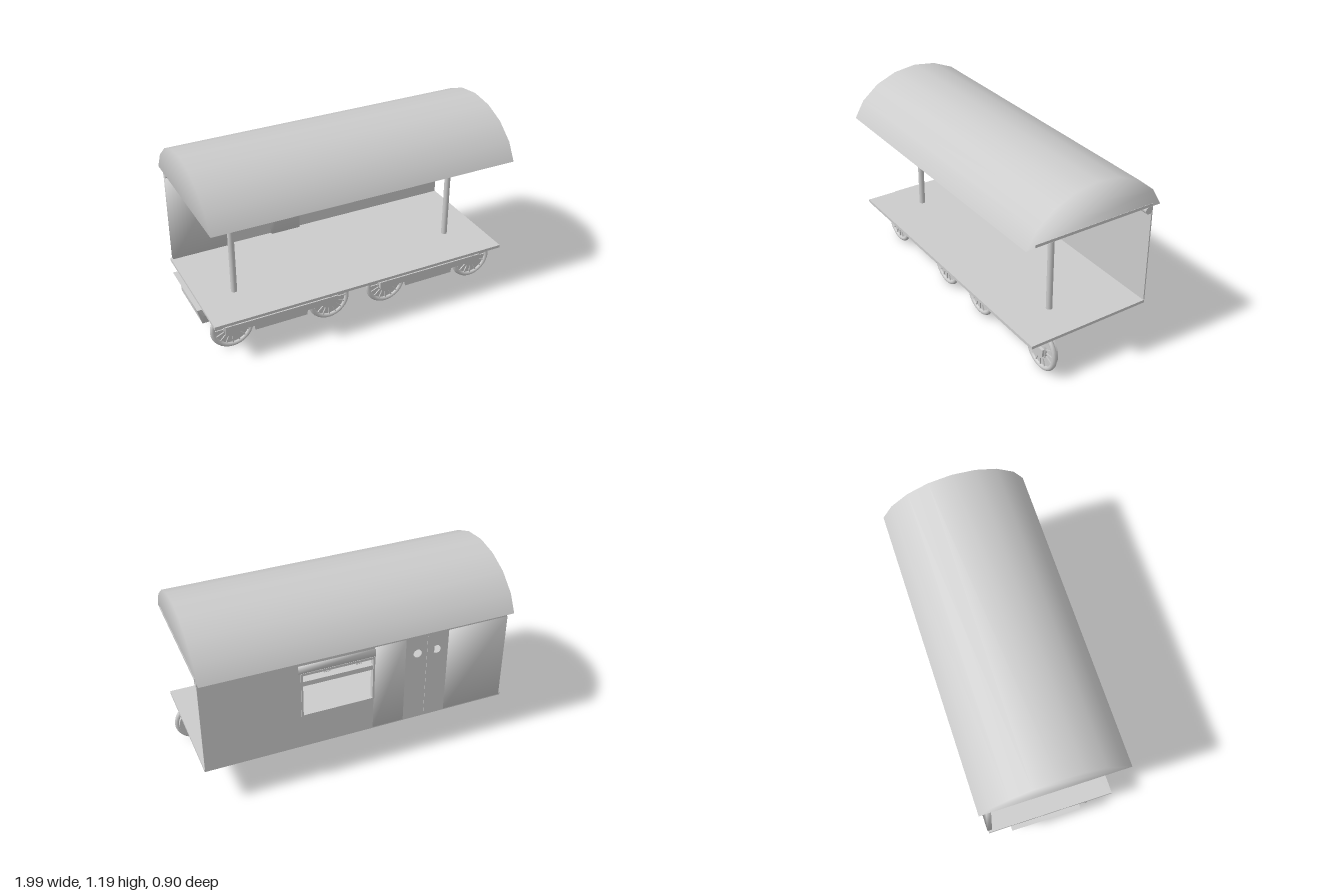
import * as THREE from 'three';

const mat = new THREE.MeshStandardMaterial({ color: 0xcccccc, side: THREE.DoubleSide });

export function createModel() {
  const root = new THREE.Group();

  function add(name, geo, x = 0, y = 0, z = 0, parent = root) {
    const m = new THREE.Mesh(geo, mat);
    m.name = name;
    m.position.set(x, y, z);
    parent.add(m);
    return m;
  }
  // box given by its limits on each axis
  function box(name, x0, x1, y0, y1, z0, z1, parent = root) {
    return add(name, new THREE.BoxGeometry(x1 - x0, y1 - y0, z1 - z0),
      (x0 + x1) / 2, (y0 + y1) / 2, (z0 + z1) / 2, parent);
  }
  // box whose normals are averaged at the corners
  function softBox(name, ...limits) {
    const m = box(name, ...limits);
    const p = m.geometry.attributes.position, n = m.geometry.attributes.normal, k = 1 / Math.sqrt(3);
    for (let i = 0; i < p.count; i++)
      n.setXYZ(i, Math.sign(p.getX(i)) * k, Math.sign(p.getY(i)) * k, Math.sign(p.getZ(i)) * k);
    return m;
  }
  // [z, y] profile swept along x
  function sweepX(profile, x0, x1) {
    const s = new THREE.Shape(profile.map(([z, y]) => new THREE.Vector2(-z, y)));
    return new THREE.ExtrudeGeometry(s, { depth: x1 - x0, bevelEnabled: false })
      .rotateY(Math.PI / 2).translate(x0, 0, 0);
  }
  const disc = (r, h, n = 24, r2 = r) => new THREE.CylinderGeometry(r, r2, h, n).rotateX(Math.PI / 2);

  // Arched roof: faceted arc with smooth radial normals and closed ends
  const half = [[0.452, 0.915], [0.39, 1.022], [0.28, 1.113], [0.148, 1.168]];
  const arc = [...half, [0, 1.188], ...half.map(([z, y]) => [-z, y]).reverse()];
  const pos = [], nor = [], idx = [];
  for (const x of [-0.97, 0.972]) {
    for (const [z, y] of arc) {
      const n = new THREE.Vector3(0, y - 0.68, z).normalize();
      pos.push(x, y, z);
      nor.push(n.x, n.y, n.z);
    }
  }
  const N = arc.length;
  for (let i = 0; i < N - 1; i++) idx.push(i, N + i, N + i + 1, i, N + i + 1, i + 1);
  for (let i = 1; i < N - 1; i++) idx.push(0, i, i + 1, N, N + i + 1, N + i);
  const roof = new THREE.BufferGeometry();
  roof.setAttribute('position', new THREE.Float32BufferAttribute(pos, 3));
  roof.setAttribute('normal', new THREE.Float32BufferAttribute(nor, 3));
  roof.setIndex(idx);
  add('roof', roof);

  // Floor and ceiling boards
  box('floor', -0.97, 0.972, 0.268, 0.286, -0.4, 0.4);
  box('ceiling', -0.968, 0.974, 0.918, 0.935, -0.395, 0.395);

  // Back wall with window and two portholes
  const wall = new THREE.Shape();
  wall.moveTo(-0.955, 0.28).lineTo(0.97, 0.28).lineTo(0.97, 0.925).lineTo(-0.955, 0.925).closePath();
  const win = new THREE.Path();
  win.moveTo(-0.08, 0.5).lineTo(-0.08, 0.795).lineTo(0.365, 0.795).lineTo(0.365, 0.5).closePath();
  wall.holes.push(win);
  const portholes = [-0.49, -0.365];
  for (const x of portholes)
    wall.holes.push(new THREE.Path().absarc(x, 0.75, 0.029, 0, Math.PI * 2, true));
  add('backWall', new THREE.ExtrudeGeometry(wall, { depth: 0.008, bevelEnabled: false, curveSegments: 16 }), 0, 0, -0.402);
  for (const x of portholes) add('portholeRing', new THREE.TorusGeometry(0.03, 0.004, 6, 20), x, 0.75, -0.398);

  // Double door details and sliding panels beside it
  box('doorGap', -0.43, -0.424, 0.51, 0.615, -0.394, -0.388);
  box('doorSeam', -0.429, -0.426, 0.285, 0.86, -0.405, -0.402);
  softBox('slidingPanel', -0.957, -0.565, 0.28, 0.868, -0.406, -0.377);
  softBox('slidingPanel', -0.285, -0.085, 0.28, 0.868, -0.406, -0.377);

  // Window frame
  box('windowSill', -0.088, 0.372, 0.495, 0.507, -0.407, -0.375);
  box('windowTop', -0.088, 0.372, 0.79, 0.806, -0.407, -0.375);
  box('windowCrossbar', -0.08, 0.365, 0.714, 0.745, -0.403, -0.38);
  for (const x of [-0.088, 0.36]) box('windowSide', x, x + 0.012, 0.495, 0.806, -0.407, -0.375);
  softBox('windowHeader', -0.09, 0.385, 0.808, 0.86, -0.407, -0.376);

  // Duct along the top of the wall, hanging rail and hand straps
  add('duct', new THREE.CylinderGeometry(0.025, 0.025, 1.93, 10).rotateZ(Math.PI / 2), 0.005, 0.892, -0.378);
  box('strapRail', -0.72, 0.72, 0.838, 0.846, -0.384, -0.376);
  for (const x of [-0.597, -0.407, -0.2, 0, 0.2, 0.385, 0.562]) {
    const strap = new THREE.Group();
    strap.name = 'handStrap';
    strap.position.set(x, 0, -0.374);
    root.add(strap);
    box('strap', -0.003, 0.003, 0.778, 0.84, -0.002, 0.002, strap);
    const loop = add('strapLoop', new THREE.TorusGeometry(0.02, 0.003, 4, 3), 0, 0.767, 0, strap);
    loop.rotation.z = Math.PI / 2;
    loop.scale.set(0.9, 1, 1);
  }

  // Ceiling panels and lamps
  for (const [x0, x1] of [[-0.49, -0.28], [-0.045, 0.275], [0.505, 0.66]])
    box('ceilingPanel', x0, x1, 0.909, 0.919, -0.215, 0.215);
  for (const [x, s] of [[-0.61, 0.75], [-0.125, 1], [0.375, 0.75]]) {
    add('lampPlate', new THREE.CylinderGeometry(0.068 * s, 0.068 * s, 0.008, 20), x, 0.912, 0);
    add('lampShade', new THREE.CylinderGeometry(0.03 * s, 0.052 * s, 0.052 * s, 20), x, 0.908 - 0.026 * s, 0);
  }

  // Posts
  for (const x of [-0.74, 0.732]) {
    add('post', new THREE.CylinderGeometry(0.019, 0.019, 0.635, 16), x, 0.601, 0.11);
    add('postCap', new THREE.CylinderGeometry(0.025, 0.025, 0.018, 16), x, 0.91, 0.11);
  }

  // Trough under the floor, flaring out at its upper end
  const trough = sweepX([[0.185, 0.27], [0.185, 0.22], [0.145, 0.14], [-0.235, 0.14], [-0.25, 0.2], [-0.26, 0.27]], -0.962, 0.568);
  const tp = trough.attributes.position;
  for (let i = 0; i < tp.count; i++)
    if (tp.getX(i) < 0 && tp.getY(i) > 0.25) tp.setX(i, -1);
  trough.computeVertexNormals();
  add('underTrough', trough);

  // Wheel trucks on the front side
  function wheel(x, parent) {
    const g = new THREE.Group();
    g.name = 'wheel';
    g.position.set(x, 0.138, 0.248);
    parent.add(g);
    add('rim', new THREE.TorusGeometry(0.122, 0.0155, 10, 32), 0, 0, 0, g);
    add('wheelPlate', disc(0.115, 0.035, 28), 0, 0, -0.0145, g);
    add('hub', disc(0.058, 0.016, 20), 0, 0, 0.008, g);
    add('axleCap', disc(0.03, 0.014, 16), 0, 0, 0.02, g);
    for (let i = 0; i < 16; i++) {
      const a = i * Math.PI / 8;
      const s = add('spoke', new THREE.BoxGeometry(0.055, 0.007, 0.01), Math.cos(a) * 0.083, Math.sin(a) * 0.083, 0.005, g);
      s.rotation.z = a;
    }
  }
  const frameProfile = [[0.25, 0.235], [0.216, 0.226], [0.16, 0.215], [0.145, 0.15], [0.216, 0.1], [0.25, 0.065]];
  for (const cx of [-0.4975, 0.5375]) {
    const truck = new THREE.Group();
    truck.name = 'wheelTruck';
    truck.position.x = cx;
    root.add(truck);
    for (const s of [-1, 1]) wheel(s * 0.319, truck);
    // Frame block widens slightly towards its top
    const frame = sweepX(frameProfile, -0.172, 0.172);
    const fp = frame.attributes.position;
    for (let i = 0; i < fp.count; i++) fp.setX(i, fp.getX(i) * (1 + 0.75 * (fp.getY(i) - 0.065)));
    frame.computeVertexNormals();
    add('truckFrame', frame, 0, 0, 0, truck);
    box('couplingBar', -0.37, 0.37, 0.12, 0.165, 0.263, 0.28, truck);
  }
  return root;
}
